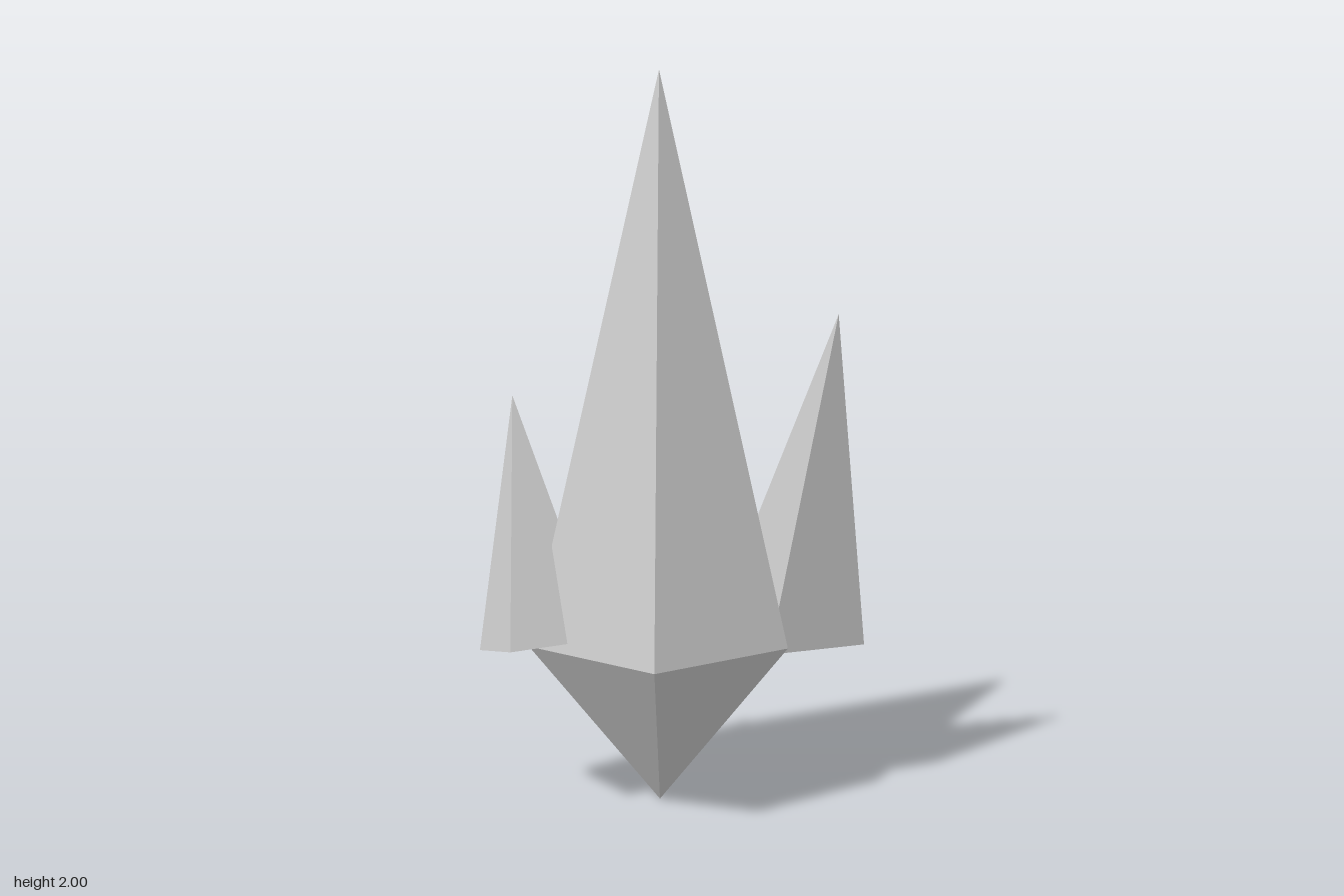
import * as THREE from 'three';

const crystalGrey = new THREE.MeshStandardMaterial({ color: 0xcccccc });
crystalGrey.name = 'crystalGrey';
crystalGrey.flatShading = true;

// Four-sided spike from a base centre to its tip, with one base corner towards `corner`
function makeShard(name, base, tip, corner, radius) {
  const centre = new THREE.Vector3(...base);
  const axis = new THREE.Vector3(...tip).sub(centre);
  const height = axis.length();
  axis.normalize();
  const z = new THREE.Vector3(...corner).sub(centre).projectOnPlane(axis).normalize();
  const x = new THREE.Vector3().crossVectors(axis, z);
  const geometry = new THREE.ConeGeometry(radius, height, 4);
  geometry.translate(0, height / 2, 0);
  geometry.applyMatrix4(new THREE.Matrix4().makeBasis(x, axis, z).setPosition(centre));
  const mesh = new THREE.Mesh(geometry, crystalGrey);
  mesh.name = name;
  return mesh;
}

export function createModel() {
  const model = new THREE.Group();
  model.name = 'crystalCluster';

  // Main crystal: a tall five-sided point above a short inverted one
  const radius = 0.367, waist = 0.467, top = 2;
  const mainCrystal = new THREE.Group();
  mainCrystal.name = 'mainCrystal';
  mainCrystal.position.set(-0.031, 0, 0.044);
  const addHalf = (name, rTop, rBottom, y0, y1) => {
    const geometry = new THREE.CylinderGeometry(rTop, rBottom, y1 - y0, 5, 1, true, Math.PI / 2);
    const mesh = new THREE.Mesh(geometry, crystalGrey);
    mesh.name = name;
    mesh.position.y = (y0 + y1) / 2;
    mainCrystal.add(mesh);
  };
  addHalf('upperPoint', 0, radius, waist, top);
  addHalf('lowerPoint', radius, 0, 0, waist);
  model.add(mainCrystal);

  // Side shards leaning outwards
  model.add(
    makeShard('leftShard', [0.277, 0.465, -0.203], [0.434, 1.36, -0.073], [0.28, 0.495, -0.415], 0.214),
    makeShard('rightShard', [-0.31, 0.466, 0.228], [-0.427, 1.132, 0.133], [-0.312, 0.49, 0.41], 0.183),
  );
  return model;
}
